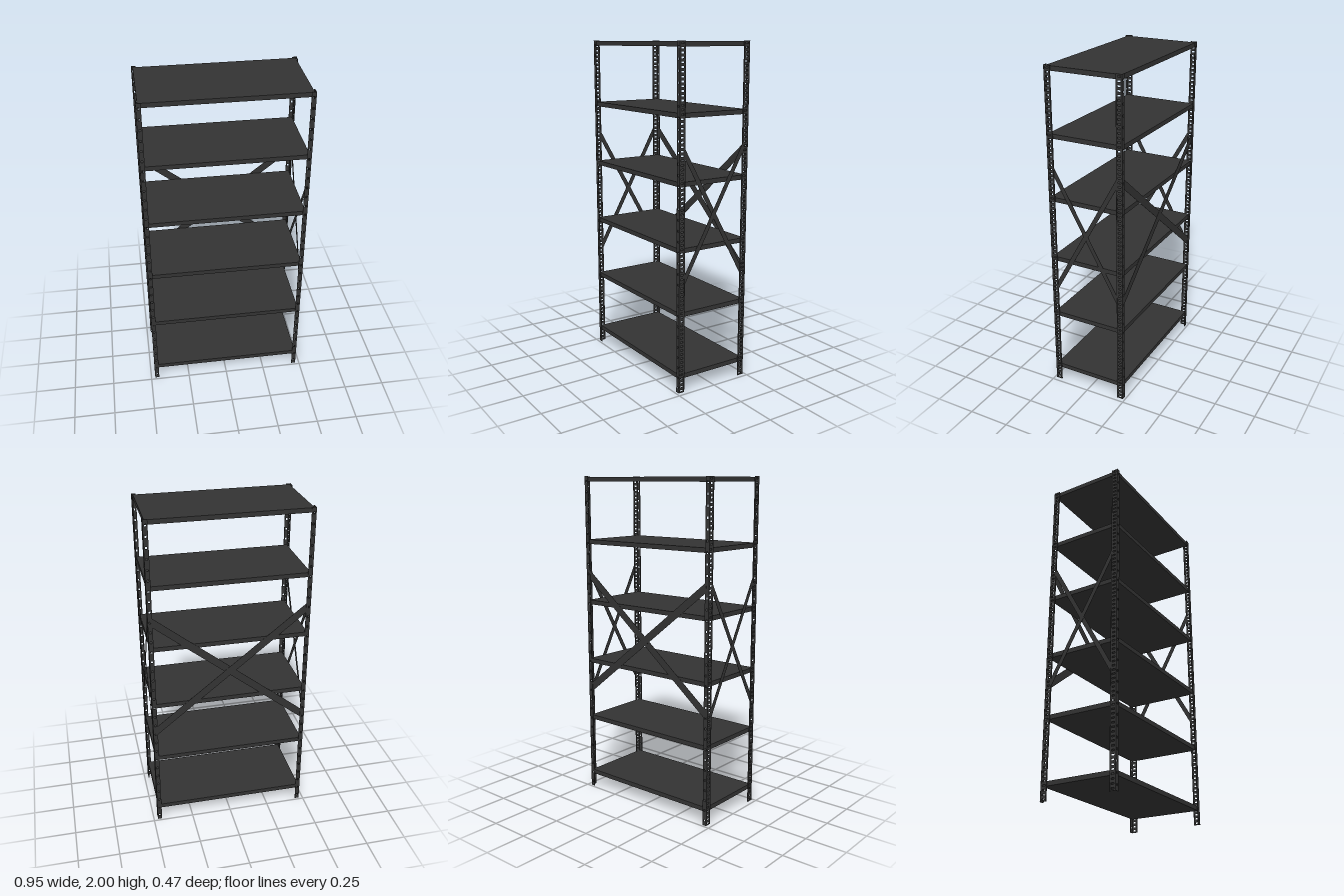
import * as THREE from 'three';

const W = 0.475;    // half width
const D = 0.237;    // half depth
const T = 0.003;    // sheet thickness
const H = 2;        // post height
const SIDE = 0.472; // x of the side sheet plane
const material = new THREE.MeshStandardMaterial({ color: 0x333333 });

function mesh(name, geometry, x = 0, y = 0, z = 0) {
  const m = new THREE.Mesh(geometry, material);
  m.name = name;
  m.position.set(x, y, z);
  return m;
}

function box(name, w, h, d, x, y, z) {
  return mesh(name, new THREE.BoxGeometry(w, h, d), x, y, z);
}

// Upright strip with a row of evenly spaced slots, centred on x and z
function perforatedStrip(width, slotW, slotH, pitch) {
  const shape = new THREE.Shape();
  shape.moveTo(-width / 2, 0);
  shape.lineTo(width / 2, 0);
  shape.lineTo(width / 2, H);
  shape.lineTo(-width / 2, H);
  shape.closePath();
  for (let y = pitch / 2; y < H; y += pitch) {
    const a = slotW / 2, b = slotH / 2;
    const hole = new THREE.Path();
    hole.moveTo(-a, y - b);
    hole.lineTo(-a, y + b);
    hole.lineTo(a, y + b);
    hole.lineTo(a, y - b);
    hole.closePath();
    shape.holes.push(hole);
  }
  const g = new THREE.ExtrudeGeometry(shape, { depth: T, bevelEnabled: false });
  return g.translate(0, 0, -T / 2);
}

// Post: narrow face to the front or back, wide slotted web to the side, small lip
const faceW = 0.027, sideW = 0.035;
const faceGeometry = perforatedStrip(faceW, 0.011, 0.012, 0.0625);
const sideGeometry = perforatedStrip(sideW, 0.018, 0.009, 0.025).rotateY(Math.PI / 2);

function createPost(sx, sz) {
  const post = new THREE.Group();
  post.name = 'cornerPost';
  post.add(mesh('postFace', faceGeometry, sx * (W - faceW / 2), 0, sz * (D - T / 2)));
  post.add(mesh('postSide', sideGeometry, sx * SIDE, 0, sz * (D - T / 2 - sideW / 2)));
  post.add(box('postLip', 0.007, H, T, sx * (W - 0.0035), H / 2, sz * (D - T / 2 - sideW)));
  return post;
}

// Two crossed flat bars in the xy plane, ends cut upright at the posts
function createCross(name, halfSpan, y0, y1, barWidth) {
  const cross = new THREE.Group();
  cross.name = name;
  const v = barWidth * Math.hypot(halfSpan * 2, y1 - y0) / (halfSpan * 2) / 2;
  for (const s of [-1, 1]) {
    const a = s > 0 ? y0 : y1, b = s > 0 ? y1 : y0;
    const shape = new THREE.Shape([
      new THREE.Vector2(-halfSpan, a - v), new THREE.Vector2(halfSpan, b - v),
      new THREE.Vector2(halfSpan, b + v), new THREE.Vector2(-halfSpan, a + v),
    ]);
    const g = new THREE.ExtrudeGeometry(shape, { depth: 0.0014, bevelEnabled: false });
    cross.add(mesh('braceBar', g, 0, 0, s > 0 ? 0 : -0.0014));
  }
  return cross;
}

export function createModel() {
  const model = new THREE.Group();
  model.name = 'shelvingUnit';

  for (const sx of [-1, 1]) for (const sz of [-1, 1]) model.add(createPost(sx, sz));

  // Six solid boards
  for (let i = 0; i < 6; i++) {
    model.add(box('shelf', 0.932, 0.027, 0.46, 0, 0.0975 + i * 0.377, 0));
  }

  // Back brace
  const back = createCross('backBrace', 0.462, 0.67, 1.41, 0.045);
  back.position.z = -(D - T - 0.0016);
  model.add(back);

  // Side braces, in line with the post sides
  for (const s of [-1, 1]) {
    const side = createCross('sideBrace', 0.201, 0.678, 1.402, 0.027);
    side.rotation.y = Math.PI / 2;
    side.position.x = s * SIDE;
    model.add(side);
  }
  return model;
}
